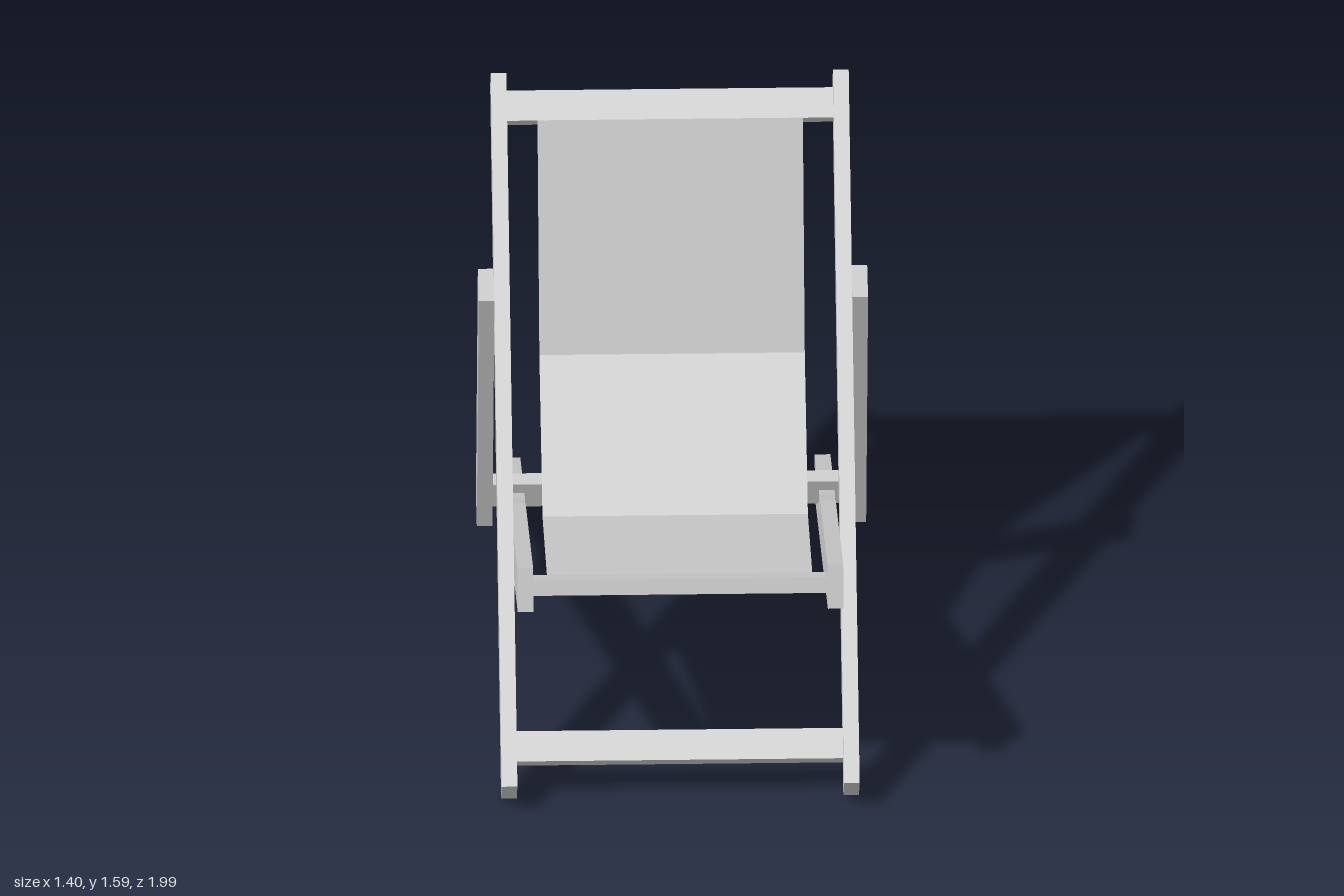
import * as THREE from 'three';

const material = new THREE.MeshStandardMaterial({ color: 0xcccccc, flatShading: true });
const clothMaterial = new THREE.MeshStandardMaterial({ color: 0xcccccc, flatShading: true, side: THREE.DoubleSide });

const T = 0.045;        // board thickness
const BOARD = 0.128;    // board height
const NOTCH = { width: 0.088, depth: 0.045 };

// Board seen from the side: runs from start to end, given as [z, y] on its centre line.
function board(name, x, width, start, end, height, notches = []) {
  const dz = end[0] - start[0], dy = end[1] - start[1];
  const length = Math.hypot(dz, dy), h = height / 2;
  const s = new THREE.Shape();
  s.moveTo(0, h);
  s.lineTo(0, -h);
  s.lineTo(length, -h);
  s.lineTo(length, h);
  for (const c of notches) {
    const a = c + NOTCH.width / 2, b = c - NOTCH.width / 2;
    s.lineTo(a, h);
    s.lineTo(a, h - NOTCH.depth);
    s.lineTo(b, h - NOTCH.depth);
    s.lineTo(b, h);
  }
  const g = new THREE.ExtrudeGeometry(s, { depth: width, bevelEnabled: false });
  g.translate(0, 0, -width / 2);
  g.rotateZ(Math.atan2(dy, dz));
  g.translate(start[0], start[1], 0);
  g.rotateY(-Math.PI / 2);
  g.translate(x, 0, 0);
  const mesh = new THREE.Mesh(g, material);
  mesh.name = name;
  return mesh;
}

// Crossbar centred on [z, y], tilted to lie along dir.
function crossbar(name, halfSpan, centre, dir, size = 0.09) {
  const l = Math.hypot(dir[0], dir[1]);
  const d = [dir[0] / l * size / 2, dir[1] / l * size / 2];
  return board(name, 0, halfSpan * 2,
    [centre[0] - d[0], centre[1] - d[1]], [centre[0] + d[0], centre[1] + d[1]], T);
}

// Sling: a strip of cloth following a side profile of [z, y] points.
function sling(profile, halfWidth) {
  const pos = [], index = [];
  profile.forEach(([z, y], i) => {
    pos.push(-halfWidth, y, z, halfWidth, y, z);
    if (i > 0) {
      const a = 2 * i - 2;
      index.push(a, a + 2, a + 1, a + 1, a + 2, a + 3);
    }
  });
  const g = new THREE.BufferGeometry();
  g.setAttribute('position', new THREE.Float32BufferAttribute(pos, 3));
  g.setIndex(index);
  const flat = g.toNonIndexed();
  flat.computeVertexNormals();
  const mesh = new THREE.Mesh(flat, clothMaterial);
  mesh.name = 'clothSling';
  return mesh;
}

export function createModel() {
  const chair = new THREE.Group();
  chair.name = 'deckChair';

  const back = { x: 0.49, start: [0.845, 0.045], end: [-0.65, 1.545] };
  const seat = { x: 0.444, start: [-0.8955, 0.085], end: [0.8585, 0.72] };
  const prop = { x: 0.535, start: [-0.4275, 0.2525], end: [-0.1665, 1.1425] };

  // Three pairs of side boards
  for (const [side, m] of [['left', 1], ['right', -1]]) {
    chair.add(board(side + 'BackRail', m * back.x, T, back.start, back.end, BOARD));
    chair.add(board(side + 'SeatRail', m * seat.x, T, seat.start, seat.end, BOARD, [0.729, 0.559, 0.389]));
    chair.add(board(side + 'PropLeg', m * prop.x, T, prop.start, prop.end, BOARD));
  }

  // Crossbars joining each pair
  const dir = (p) => [p.end[0] - p.start[0], p.end[1] - p.start[1]];
  const span = (p) => p.x - T / 2;
  chair.add(crossbar('topBar', span(back), [-0.5925, 1.4825], dir(back)));
  chair.add(crossbar('footBar', span(back), [0.7525, 0.1375], dir(back)));
  chair.add(crossbar('seatFrontBar', span(seat), [0.79, 0.695], dir(seat)));
  chair.add(crossbar('seatRearBar', span(seat), [-0.772, 0.13], dir(seat)));
  chair.add(crossbar('propBar', span(prop), [-0.405, 0.33], dir(prop)));

  // Cloth from the top bar down to the seat's front bar
  chair.add(sling([[-0.545, 1.467], [-0.288, 0.84], [0.137, 0.55], [0.742, 0.7]], 0.38));

  // The chair stands turned slightly to its right
  const angle = THREE.MathUtils.degToRad(-14.3);
  chair.rotation.y = angle;
  chair.position.set(0.015 * Math.cos(angle), 0, -0.015 * Math.sin(angle));

  const model = new THREE.Group();
  model.name = 'model';
  model.add(chair);
  return model;
}
